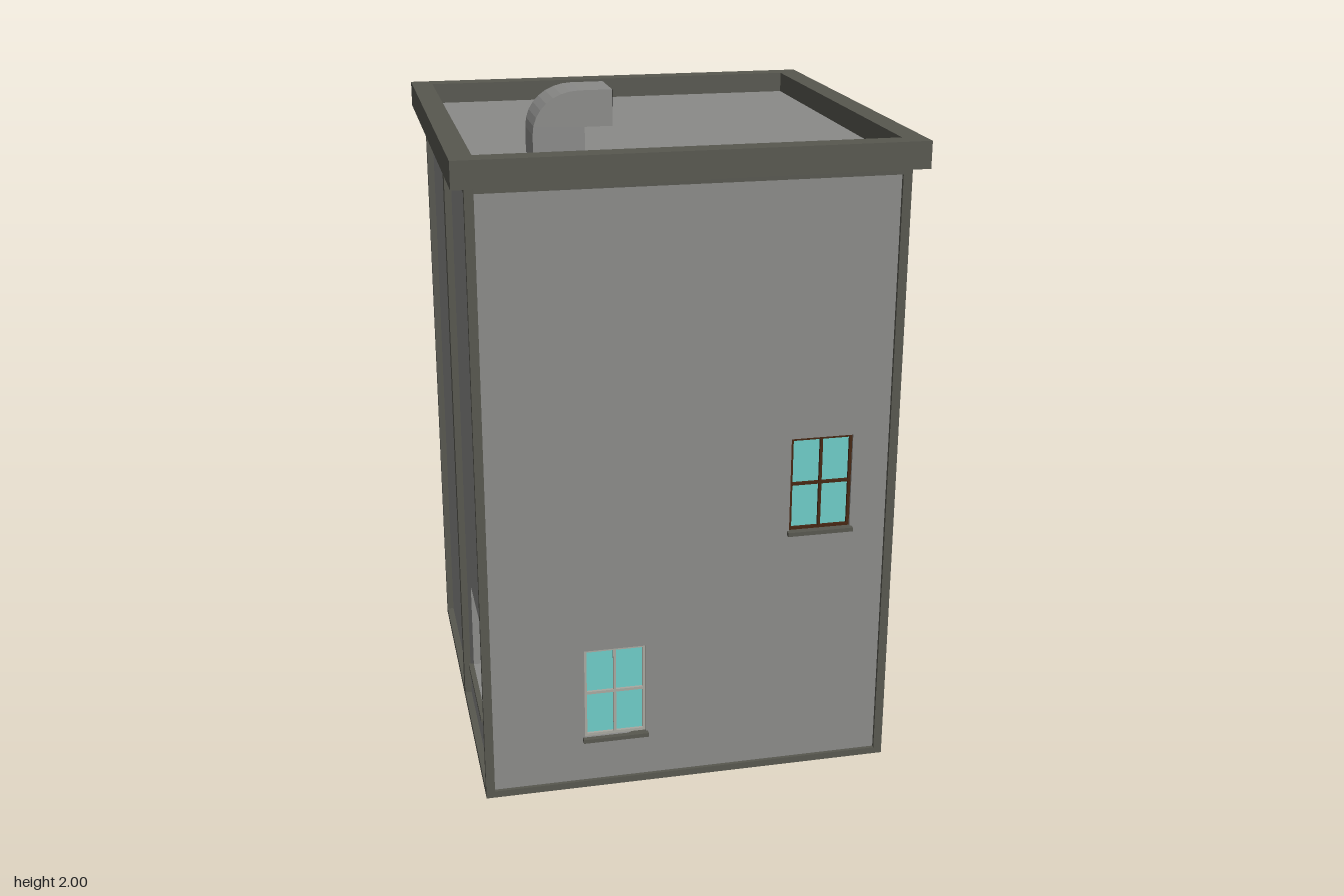
import * as THREE from 'three';

const mat = (color) => new THREE.MeshStandardMaterial({ color, side: THREE.DoubleSide });

export function createModel() {
  const root = new THREE.Group();
  root.name = 'building';
  const wall = mat(0x8a8a88), trim = mat(0x57574f), glass = mat(0x6ecbc7);
  const darkWood = mat(0x462612), doorWood = mat(0x5f3510), metal = mat(0xa8a8a0), black = mat(0x0a0a0a);
  const CORE = 0.53, H = 1.8;

  // Box given by its min and max corners
  function block(parent, name, m, x0, x1, y0, y1, z0, z1) {
    const mesh = new THREE.Mesh(new THREE.BoxGeometry(x1 - x0, y1 - y0, z1 - z0), m);
    mesh.position.set((x0 + x1) / 2, (y0 + y1) / 2, (z0 + z1) / 2);
    mesh.name = name;
    parent.add(mesh);
    return mesh;
  }

  function rect(target, x0, x1, y0, y1) {
    target.moveTo(x0, y0);
    target.lineTo(x1, y0);
    target.lineTo(x1, y1);
    target.lineTo(x0, y1);
    target.closePath();
    return target;
  }

  function extrude(parent, name, m, shape, depth, segments = 8) {
    const geometry = new THREE.ExtrudeGeometry(shape, { depth, bevelEnabled: false, curveSegments: segments });
    const mesh = new THREE.Mesh(geometry, m);
    mesh.name = name;
    parent.add(mesh);
    return mesh;
  }

  // Glass, frame, glazing bars and sill; z is the glass, out the wall surface
  function addWindow(parent, { x, y, w = 0.18, h = 0.28, cross = true, bars = darkWood }, z, out) {
    const g = new THREE.Group();
    g.name = 'window';
    g.position.set(x, y, 0);
    parent.add(g);
    const a = w / 2, b = h / 2, t = 0.008, f = z + 0.008;
    block(g, 'glass', glass, -a, a, -b, b, CORE, z);
    for (const s of [-1, 1]) {
      block(g, 'frameSide', bars, s * a - (s > 0 ? t : 0), s * a + (s > 0 ? 0 : t), -b, b, z, f);
      block(g, 'frameRail', bars, -a, a, s * b - (s > 0 ? t : 0), s * b + (s > 0 ? 0 : t), z, f);
    }
    block(g, 'crossBar', bars, -a, a, -t / 2, t / 2, z, f);
    if (cross) block(g, 'uprightBar', bars, -t / 2, t / 2, -b, b, z, f);
    block(g, 'sill', trim, -a - 0.006, a + 0.006, -b - 0.012, -b, z, out + 0.015);
  }

  // One facade: x right, y up, z outward
  function facade(name, angle, half, surface, glassZ, windows, door) {
    const g = new THREE.Group();
    g.name = name;
    g.rotation.y = angle;
    root.add(g);
    const shape = rect(new THREE.Shape(), -half, half, 0, H);
    for (const o of windows) {
      const w = o.w ?? 0.18, h = o.h ?? 0.28;
      shape.holes.push(rect(new THREE.Path(), o.x - w / 2, o.x + w / 2, o.y - h / 2, o.y + h / 2));
      addWindow(g, o, glassZ, surface);
    }
    if (door) shape.holes.push(rect(new THREE.Path(), 0.018, 0.582, 0.02, 0.587));
    extrude(g, 'wallPanel', wall, shape, surface - CORE).position.z = CORE;
    block(g, 'bottomRail', trim, -0.58, 0.58, 0, 0.02, surface - 0.01, 0.6);
    block(g, 'topRail', trim, -0.58, 0.58, 1.78, H, surface - 0.01, 0.6);
    return g;
  }

  // Inner block, corner posts
  block(root, 'core', wall, -CORE, CORE, 0, H, -CORE, CORE);
  for (const sx of [-1, 1]) for (const sz of [-1, 1]) {
    const post = block(root, 'cornerPost', trim, -0.0125, 0.0125, 0, H, -0.01, 0.01);
    post.position.x = sx * 0.5875;
    post.position.z = sz * 0.59;
  }

  const wide = { y: 0.32, w: 0.325, h: 0.27, cross: false };
  facade('frontFacade', 0, CORE, 0.59, 0.575, [{ x: 0.38, y: 0.9 }, { x: -0.217, y: 0.3, bars: metal }]);
  facade('backFacade', Math.PI, CORE, 0.59, 0.575, [{ x: 0.38, y: 1.5 }, { x: 0.38, y: 0.9 }]);
  const entry = facade('entranceFacade', Math.PI / 2, 0.59, 0.58, 0.55,
    [{ x: -0.39, y: 1.5 }, { x: 0.39, y: 0.9 }, { x: -0.3, ...wide }], true);
  const plain = facade('plainFacade', -Math.PI / 2, 0.59, 0.58, 0.55, [{ x: 0.3, ...wide }]);

  // Dividing strips of the two side facades
  for (const g of [entry, plain]) block(g, 'middlePost', trim, -0.018, 0.018, 0, H, 0.57, 0.6);
  for (const y of [0.603, 1.2]) block(entry, 'floorBand', trim, -0.58, 0.58, y - 0.018, y + 0.018, 0.57, 0.6);

  // Recessed entrance: surround, side lights, double door
  const door = new THREE.Group();
  door.name = 'entrance';
  entry.add(door);
  block(door, 'surround', darkWood, 0.018, 0.582, 0.02, 0.586, CORE, 0.538);
  block(door, 'threshold', wall, 0.018, 0.582, 0.018, 0.024, CORE, 0.6);
  block(door, 'transomBar', darkWood, 0.018, 0.582, 0.45, 0.464, 0.538, 0.546);
  for (const s of [-1, 1]) {
    const c = 0.3 + s * 0.217;
    block(door, 'sideLight', glass, c - 0.062, c + 0.062, 0.032, 0.448, 0.538, 0.541);
    block(door, 'transomFrame', metal, c - 0.06, c + 0.06, 0.466, 0.574, 0.538, 0.541);
    block(door, 'transomLight', glass, c - 0.053, c + 0.053, 0.473, 0.567, 0.538, 0.543);
    const d = 0.3 + s * 0.0715;
    block(door, 'doorLeaf', doorWood, d - 0.07, d + 0.07, 0.026, 0.448, 0.538, 0.546);
    const knob = new THREE.Mesh(new THREE.SphereGeometry(0.006, 10, 8), metal);
    knob.position.set(0.3 + s * 0.015, 0.26, 0.55);
    knob.name = 'doorKnob';
    door.add(knob);
  }

  // Flat roof inside an overhanging parapet
  const ring = rect(new THREE.Shape(), -0.637, 0.637, -0.637, 0.637);
  ring.holes.push(rect(new THREE.Path(), -0.574, 0.574, -0.574, 0.574));
  const parapet = extrude(root, 'parapet', trim, ring, 0.075);
  parapet.rotation.x = -Math.PI / 2;
  parapet.position.y = H;
  block(root, 'roof', wall, -0.574, 0.574, H - 0.005, 1.815, -0.574, 0.574);

  // Bent square roof vent with a dark mouth
  const duct = new THREE.Shape();
  duct.moveTo(-0.393, 1.81);
  duct.lineTo(-0.253, 1.81);
  duct.lineTo(-0.253, 1.903);
  duct.lineTo(-0.178, 1.903);
  duct.lineTo(-0.178, 2);
  duct.lineTo(-0.265, 2);
  duct.bezierCurveTo(-0.336, 2, -0.393, 1.952, -0.393, 1.885);
  duct.closePath();
  extrude(root, 'roofVent', wall, duct, 0.14, 8).position.z = 0.26;
  block(root, 'ventMouth', black, -0.18, -0.1765, 1.905, 1.998, 0.263, 0.397);
  return root;
}
